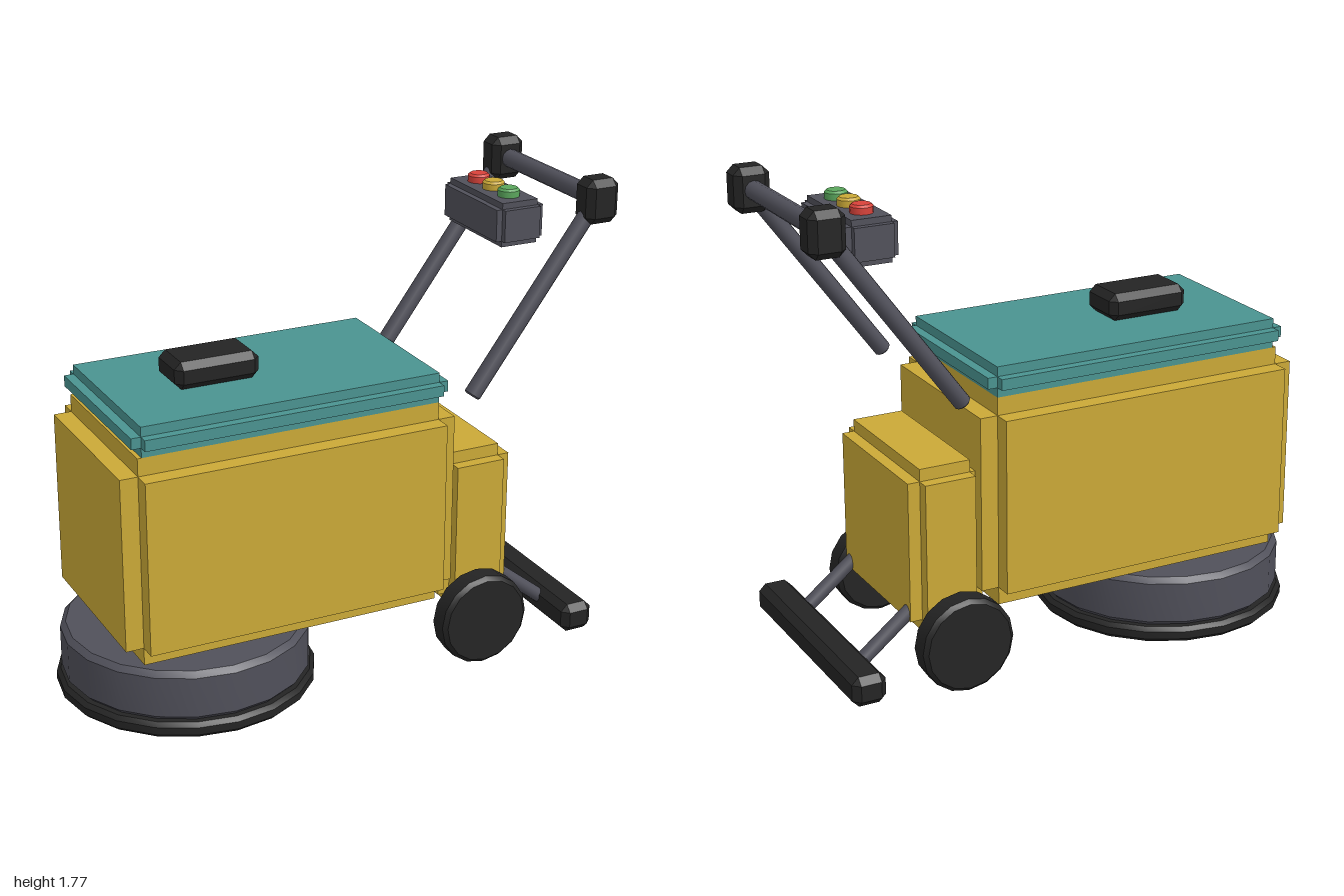
import * as THREE from 'three';
import { toCreasedNormals } from 'three/addons/utils/BufferGeometryUtils.js';
import { ConvexGeometry } from 'three/addons/geometries/ConvexGeometry.js';

const mat = (name, color) => {
  const m = new THREE.MeshStandardMaterial({ color });
  m.name = name;
  return m;
};

export function createModel() {
  const yellow = mat('yellow paint', 0xcba937);
  const teal = mat('teal lid', 0x4a9390);
  const grey = mat('grey metal', 0x50505a);
  const black = mat('black rubber', 0x242424);
  const red = mat('red button', 0xd8423a);
  const green = mat('green button', 0x5aa55c);

  const model = new THREE.Group();
  model.name = 'floorScrubber';

  const add = (name, geometry, material, parent = model) => {
    const mesh = new THREE.Mesh(geometry, material);
    mesh.name = name;
    parent.add(mesh);
    return mesh;
  };

  // Panelled box: three crossing boxes, each full size along one axis and inset on the others
  const panelBox = (name, min, max, inset, material) => {
    const group = new THREE.Group();
    group.name = name;
    const size = max.map((v, i) => v - min[i]);
    ['SidePanels', 'TopPanels', 'EndPanels'].forEach((suffix, k) => {
      const axis = [2, 1, 0][k];
      const s = size.map((v, i) => (i === axis ? v : v - 2 * inset));
      add(name + suffix, new THREE.BoxGeometry(...s), material, group);
    });
    group.position.set(...min.map((v, i) => (v + max[i]) / 2));
    model.add(group);
  };

  // Box with every edge and corner chamfered
  const chamferBox = (name, min, max, c, material) => {
    const h = max.map((v, i) => (v - min[i]) / 2);
    const points = [];
    for (const x of [-1, 1]) for (const y of [-1, 1]) for (const z of [-1, 1]) {
      for (let axis = 0; axis < 3; axis++) {
        const p = [x, y, z].map((s, i) => s * (i === axis ? h[i] : h[i] - c));
        points.push(new THREE.Vector3(...p));
      }
    }
    const mesh = add(name, new ConvexGeometry(points), material);
    mesh.position.set(...min.map((v, i) => (v + max[i]) / 2));
  };

  // Round rod or disc with chamfered rims, running from a to b
  const rod = (name, a, b, r, c, sides, material) => {
    const from = new THREE.Vector3(...a);
    const dir = new THREE.Vector3(...b).sub(from);
    const len = dir.length();
    const profile = [[0, 0], [r - c, 0], [r, c], [r, len - c], [r - c, len], [0, len]]
      .map(([x, y]) => new THREE.Vector2(x, y));
    const geometry = toCreasedNormals(new THREE.LatheGeometry(profile, sides), 0.61);
    const mesh = add(name, geometry, material);
    mesh.position.copy(from);
    mesh.quaternion.setFromUnitVectors(new THREE.Vector3(0, 1, 0), dir.normalize());
  };

  // Body, rear housing and lid
  panelBox('tankBody', [-0.88, 0.26, -0.385], [0.385, 1.03, 0.385], 0.065, yellow);
  panelBox('rearHousing', [0.36, 0.2, -0.32], [0.64, 0.805, 0.32], 0.045, yellow);
  panelBox('lid', [-0.835, 1.03, -0.355], [0.355, 1.14, 0.355], 0.035, teal);
  chamferBox('lidHandle', [-0.575, 1.14, -0.095], [-0.26, 1.24, 0.095], 0.025, black);

  // Scrubbing head
  rod('brushPad', [-0.53, 0, 0], [-0.53, 0.058, 0], 0.47, 0.015, 20, black);
  rod('brushHousing', [-0.53, 0.055, 0], [-0.53, 0.245, 0], 0.45, 0.02, 20, grey);

  // Squeegee at the back
  chamferBox('squeegee', [0.805, 0.055, -0.447], [0.93, 0.165, 0.447], 0.025, black);

  // Mirrored wheels, squeegee arms and push handle
  for (const s of [1, -1]) {
    const side = s > 0 ? 'left' : 'right';
    rod(side + 'Wheel', [0.482, 0.178, s * 0.323], [0.482, 0.178, s * 0.42], 0.174, 0.015, 16, black);
    rod(side + 'SqueegeeArm', [0.61, 0.29, s * 0.243], [0.85, 0.1, s * 0.243], 0.026, 0.006, 12, grey);
    rod(side + 'HandleBar', [0.45, 1.032, s * 0.322], [0.935, 1.69, s * 0.322], 0.031, 0.006, 12, grey);
    chamferBox(side + 'HandleGrip', [0.87, 1.61, s * 0.322 - 0.056], [1, 1.77, s * 0.322 + 0.056], 0.025, black);
  }
  rod('handleCrossbar', [0.935, 1.693, -0.32], [0.935, 1.693, 0.32], 0.034, 0.006, 12, grey);

  // Control console with buttons
  panelBox('console', [0.613, 1.515, -0.207], [0.8, 1.675, 0.207], 0.022, grey);
  [['redButton', red], ['yellowButton', yellow], ['greenButton', green]].forEach(([name, material], i) => {
    const z = (i - 1) * 0.105;
    rod(name, [0.706, 1.66, z], [0.706, 1.706, z], 0.04, 0.008, 16, material);
  });

  return model;
}
